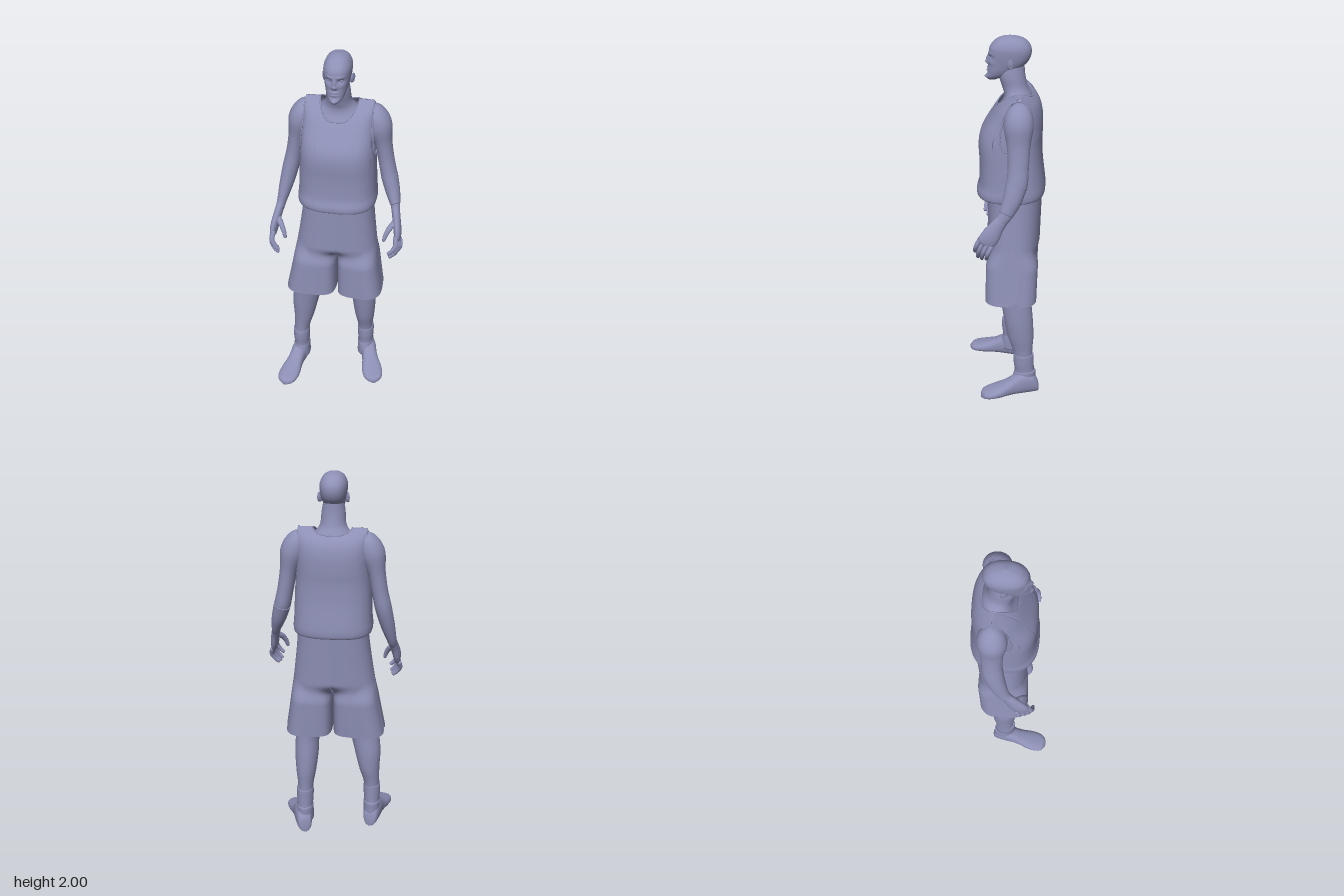
import * as THREE from 'three';

const skin = new THREE.MeshStandardMaterial({ color: 0x8d8fb5 });
const cloth = new THREE.MeshStandardMaterial({ color: 0x8d8fb5, side: THREE.DoubleSide });
const V = (x, y, z) => new THREE.Vector3(x, y, z);
const UP = V(0, 1, 0), DOWN = V(0, -1, 0);
const { lerp, smoothstep } = THREE.MathUtils;
const pow = (v, p) => Math.sign(v) * Math.abs(v) ** p;

// Surface around an axis: fn(t, angle) gives a point; ends may be capped, the last column may stay open
function wrap(fn, rows, cols, { capped = false, open = false } = {}) {
  const pos = [], idx = [];
  for (let i = 0; i <= rows; i++)
    for (let j = 0; j < cols; j++) pos.push(...fn(i / rows, (j / cols) * Math.PI * 2).toArray());
  for (let i = 0; i < rows; i++)
    for (let j = 0; j < cols - (open ? 1 : 0); j++) {
      const a = i * cols + j, b = i * cols + (j + 1) % cols;
      idx.push(a, b, a + cols, b, b + cols, a + cols);
    }
  if (capped) for (const i of [0, rows]) {
    const mid = V(0, 0, 0), k = pos.length / 3;
    for (let j = 0; j < cols; j++) mid.addScaledVector(fn(i / rows, (j / cols) * Math.PI * 2), 1 / cols);
    pos.push(...mid.toArray());
    for (let j = 0; j < cols; j++) {
      const a = i * cols + j, b = i * cols + (j + 1) % cols;
      idx.push(...(i ? [a, b, k] : [b, a, k]));
    }
  }
  const g = new THREE.BufferGeometry();
  g.setAttribute('position', new THREE.Float32BufferAttribute(pos, 3));
  g.setIndex(idx);
  g.computeVertexNormals();
  return g;
}

// Smooth oval sections [x, y, z, halfWidth, halfDepth] along a path
function sweep(secs, { dir, n = 2 } = {}) {
  const path = new THREE.CatmullRomCurve3(secs.map(s => V(s[0], s[1], s[2])), false, 'catmullrom');
  const size = new THREE.CatmullRomCurve3(secs.map(s => V(s[3], s[4], 0)), false, 'catmullrom');
  const fn = (t, a) => {
    const T = dir || path.getTangent(t), r = size.getPoint(t);
    const X = V(1, 0, 0).addScaledVector(T, -T.x).normalize();
    const W = T.clone().cross(X);
    return path.getPoint(t).addScaledVector(X, r.x * pow(Math.cos(a), 2 / n))
      .addScaledVector(W, r.y * pow(Math.sin(a), 2 / n));
  };
  return { fn, path };
}
const loft = (secs, opts, rows = 40, cols = 32) => wrap(sweep(secs, opts).fn, rows, cols, { capped: true });

// Upright profile [y, halfWidth, frontZ, backZ] to sections
const upright = list => list.map(([y, w, f, b]) => [0, y, (f + b) / 2, w, (f - b) / 2]);

export function createModel() {
  const model = new THREE.Group();
  const add = (name, geo, mat = skin) => {
    const m = new THREE.Mesh(geo, mat);
    m.name = name;
    model.add(m);
    return m;
  };

  // Torso and neck
  add('torsoAndNeck', loft(upright([
    [1.1, .15, .07, -.15], [1.4, .165, .1, -.17], [1.55, .16, .07, -.17], [1.62, .15, .035, -.165],
    [1.67, .13, .008, -.15], [1.705, .088, .002, -.135], [1.74, .066, .012, -.118],
    [1.8, .06, .03, -.105], [1.86, .05, .03, -.1],
  ]), { dir: UP }, 48, 48));

  // Head, with facial features pushed out of or into the front: [x, y, amount, spreadX, spreadY]
  const head = sweep(upright([
    [1.772, .012, .078, .045], [1.79, .034, .086, 0], [1.82, .05, .083, -.055], [1.86, .061, .079, -.11],
    [1.9, .068, .078, -.133], [1.94, .069, .074, -.134], [1.972, .056, .05, -.114],
    [1.99, .035, .02, -.082], [2, .004, -.025, -.033],
  ]), { dir: UP, n: 2.3 });
  const features = [
    [0, 1.882, .013, .009, .02], [0, 1.863, .014, .016, .009], [.03, 1.892, -.012, .015, .009],
    [.026, 1.912, .005, .024, .007], [0, 1.836, .008, .02, .005], [0, 1.822, .008, .018, .005],
    [0, 1.789, .014, .018, .012], [.042, 1.865, .004, .014, .012],
  ];
  add('head', wrap((t, a) => {
    const p = head.fn(t, a);
    if (p.z > 0) {
      let d = 0;
      for (const [x, y, k, sx, sy] of features)
        d += k * Math.exp(-(((Math.abs(p.x) - x) / sx) ** 2) - ((p.y - y) / sy) ** 2);
      p.z += d * smoothstep(p.z, 0, .03);
    }
    return p;
  }, 72, 120, { capped: true }));
  for (const s of [1, -1]) {
    add('eye', new THREE.SphereGeometry(.011, 20, 14)).position.set(s * .029, 1.892, .054);
    const ear = add('ear', new THREE.SphereGeometry(1, 20, 16));
    ear.scale.set(.008, .025, .017);
    ear.position.set(s * .069, 1.868, -.032);
    ear.rotation.set(-.2, s * -.4, s * -.15);
    const rim = add('earRim', new THREE.TorusGeometry(.014, .004, 8, 24));
    rim.scale.set(.9, 1.4, 1);
    rim.position.set(s * .073, 1.87, -.035);
    rim.rotation.set(0, s * (Math.PI / 2 - .4), 0);
  }

  // Sleeveless top: each column of the body tube stops at the neckline, strap or armhole
  const top = sweep(upright([
    [1.165, .185, .115, -.19], [1.172, .203, .138, -.21], [1.2, .207, .142, -.216], [1.25, .203, .13, -.212],
    [1.35, .199, .127, -.2], [1.45, .195, .131, -.195], [1.52, .191, .117, -.198], [1.6, .188, .07, -.195],
    [1.66, .187, .028, -.178], [1.7, .188, -.02, -.145], [1.724, .189, -.066, -.106], [1.73, .188, -.085, -.087],
  ]), { dir: UP, n: 2.7 });
  const tAt = y => {
    let lo = 0, hi = 1;
    for (let i = 0; i < 22; i++) {
      const m = (lo + hi) / 2;
      if (top.path.getPoint(m).y < y) lo = m; else hi = m;
    }
    return lo;
  };
  const neckC = .43, armC = .9;
  const edge = a => {
    const c = Math.abs(Math.cos(a));
    if (c < neckC) {
      const base = Math.sin(a) < 0 ? 1.65 : 1.7;
      return base + (1.73 - base) * (c / neckC) ** 2.5;
    }
    return c < armC ? 1.73 : 1.45 + .28 * (Math.acos(Math.min(c, 1)) / Math.acos(armC)) ** 2;
  };
  const tops = new Map();
  const topAt = a => tops.get(a) ?? tops.set(a, tAt(edge(a))).get(a);
  add('tankTop', wrap((t, a) => top.fn(t * topAt(a), a), 60, 180), cloth);

  // Bound edges of the neckline and armholes
  const trim = (name, centres, half) => {
    const pts = [];
    for (const [c, flip] of centres)
      for (let i = 0; i < 24; i++) {
        const a = c + flip * lerp(-half, half, (i + .5) / 24);
        pts.push(top.fn(tAt(edge(a)), a));
      }
    add(name, new THREE.TubeGeometry(new THREE.CatmullRomCurve3(pts, true), 120, .0035, 8, true), cloth);
  };
  trim('neckTrim', [[-Math.PI / 2, 1], [Math.PI / 2, 1]], Math.asin(neckC));
  trim('leftArmholeTrim', [[0, 1]], Math.acos(armC));
  trim('rightArmholeTrim', [[Math.PI, 1]], Math.acos(armC));

  // Shorts: each half starts as half of the hips and closes into its own leg below the crotch
  const cols = 96;
  for (const [name, s, hem, front, back] of [['leftShortsLeg', 1, .25, .09, -.182], ['rightShortsLeg', -1, .28, .098, -.17]])
    add(name, wrap((t, a) => {
      const u = a * cols / (cols - 1) - Math.PI;
      const notch = .03 * Math.max(0, 1 - Math.abs(u + s * .1) / .12);
      const y = lerp(1.2, .59 + notch, t);
      const outer = .183 + (hem - .183) * t ** 1.3;
      const k = smoothstep(.9 - y, 0, .12);
      const f = lerp(.085, front, t), b = lerp(-.2, back, t), cz = (f + b) / 2, rz = (f - b) / 2;
      const fold = 1 + .015 * t * t * Math.cos(5 * u);
      const px = outer * pow(Math.max(0, Math.cos(u / 2)), .8), pz = rz * pow(Math.sin(u / 2), .8);
      const inner = .004, r = (outer - inner) / 2;
      const lx = inner + r + r * pow(Math.cos(u), .6), lz = rz * pow(Math.sin(u), .6) * fold;
      return V(s * lerp(px, lx, k), y, cz + s * lerp(pz, lz, k));
    }, 56, cols, { open: true }), cloth);

  // Legs, socks and shoes
  const legs = {
    left: [[.11, .95, -.06, .07, .09], [.125, .65, -.07, .075, .088], [.138, .56, -.075, .065, .082],
      [.142, .45, -.088, .064, .078], [.145, .35, -.1, .055, .07], [.148, .24, -.114, .041, .051], [.15, .08, -.122, .041, .053]],
    right: [[-.12, .95, -.04, .07, .09], [-.16, .65, -.015, .08, .09], [-.17, .56, -.02, .078, .076],
      [-.188, .45, -.03, .071, .072], [-.198, .35, -.035, .057, .064], [-.213, .24, -.032, .042, .05], [-.215, .08, -.032, .042, .053]],
  };
  const shoes = { left: [.14, -.2, .238, .112], right: [-.208, -.1, -.27, .22] };
  for (const side of ['left', 'right']) {
    add(side + 'Leg', loft(legs[side], { dir: DOWN }, 60, 36));
    const [ax, , az] = legs[side][6];
    add(side + 'Sock', loft([[ax, .242, az + .005, .04, .048], [ax, .24, az + .005, .046, .056], [ax, .19, az + .004, .046, .056],
      [ax, .14, az, .043, .054], [ax, .08, az, .045, .06]], { dir: DOWN }));
    const [x0, z0, x1, z1] = shoes[side];
    const dir = V(x1 - x0, 0, z1 - z0).normalize();
    // [distance along the foot, half width, half height]
    const foot = [[0, .015, .02], [.03, .034, .042], [.12, .043, .06], [.28, .046, .066], [.42, .044, .056], [.55, .048, .043],
      [.7, .057, .033], [.85, .056, .025], [.95, .042, .02], [1, .014, .012]];
    add(side + 'Shoe', loft(foot.map(([d, w, h]) => [lerp(x0, x1, d), h, lerp(z0, z1, d), w, h]), { dir, n: 2.4 }, 48, 36));
    add(side + 'ShoeCollar', loft([[ax, .05, az, .046, .062], [ax, .1, az, .046, .062],
      [ax, .135, az - .004, .045, .058], [ax, .14, az - .004, .038, .05]], { dir: UP }, 20));
  }

  // Arms and hands; the right arm hangs a little lower
  for (const [side, s, drop] of [['left', 1, 0], ['right', -1, .045]]) {
    const arm = [[.14, 1.69, -.086, .025, .025], [.175, 1.658, -.086, .055, .062], [.202, 1.595, -.084, .066, .074],
      [.225, 1.5, -.086, .046, .059], [.243, 1.4, -.086, .042, .053], [.262, 1.31, -.08, .043, .054],
      [.285, 1.23 - drop * .5, -.058, .037, .046], [.305, 1.165 - drop, -.03, .026, .036], [.313, 1.125 - drop, -.004, .022, .032]];
    const place = p => [s * p[0], p[1], p[2], p[3], p[4]];
    add(side + 'Arm', loft(arm.map(place), {}, 64, 36));
    if (s > 0) add('forearmSleeve', loft([arm[5], arm[6], arm[7]].map(([x, y, z, a, b]) => [x, y, z, a + .002, b + .002])));

    const hand = pts => loft(pts.map(([x, y, z, a, b]) => [s * x, y - drop, z, a, b]), {}, 20, 16);
    add(side + 'Palm', hand([[.31, 1.14, -.015, .022, .032], [.32, 1.1, .016, .022, .038], [.331, 1.05, .048, .021, .048],
      [.335, 1.015, .072, .017, .045], [.333, 1.0, .082, .008, .03]]));
    for (let i = 0; i < 4; i++) {
      const o = i - 1.5, len = [.85, 1, 1.05, .9][i];
      const x = .335 - o * .006, y = 1.02 + o * .013, z = .07 + o * .019;
      add(side + 'Finger', hand([[x, y, z, .012, .012], [x + .006, y - .045 * len, z + .022 * len, .013, .012],
        [x - .01, y - .08 * len, z + .032 * len, .011, .011], [x - .03, y - .102 * len, z + .034 * len, .009, .009],
        [x - .034, y - .106 * len, z + .034 * len, .003, .003]]));
    }
    add(side + 'Thumb', hand([[.318, 1.09, .035, .018, .018], [.292, 1.068, .066, .015, .015], [.274, 1.035, .084, .012, .012],
      [.266, 1.005, .092, .009, .009], [.265, .998, .094, .003, .003]]));
  }
  return model;
}
